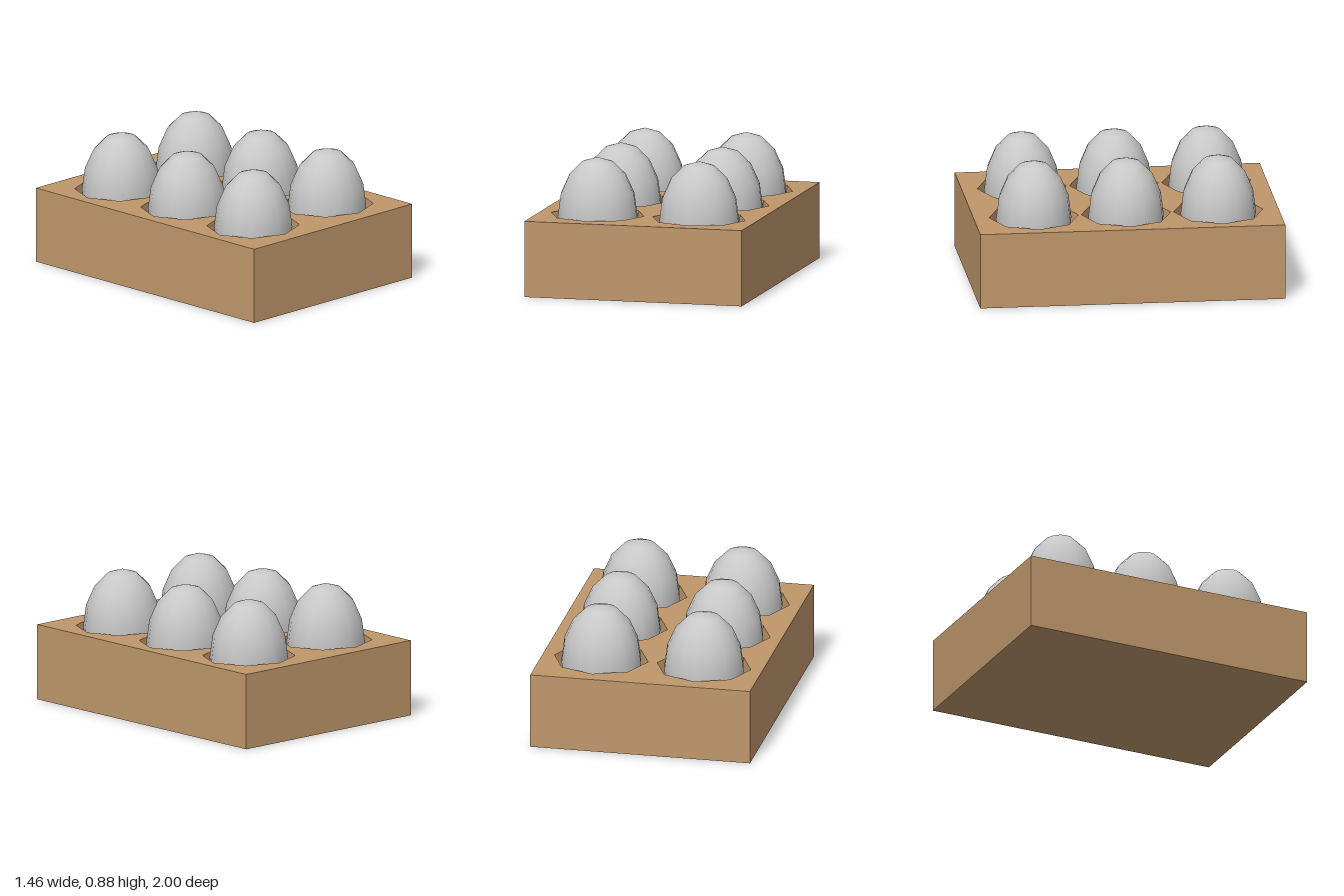
import * as THREE from 'three';

const W = 0.732, D = 1, H = 0.5;            // half width, half depth, height
const CX = [-0.342, 0.342], CZ = [-0.605, 0, 0.605];
const cupRX = 0.312, cupRZ = 0.292, cupDepth = 0.43;

export function createModel() {
  const model = new THREE.Group();
  const card = new THREE.MeshStandardMaterial({ color: 0xbf976b });
  card.name = 'cardboard';
  const shell = new THREE.MeshStandardMaterial({ color: 0xc8c8c8 });
  shell.name = 'eggshell';

  const add = (name, geometry, material, x = 0, y = 0, z = 0) => {
    const mesh = new THREE.Mesh(geometry, material);
    mesh.name = name;
    mesh.position.set(x, y, z);
    model.add(mesh);
    return mesh;
  };

  // Tray sides and bottom: a box without its top face
  const box = new THREE.BoxGeometry(2 * W, H, 2 * D);
  box.setIndex(Array.from(box.index.array).filter((_, i) => i < 12 || i >= 18));
  box.clearGroups();
  add('traySides', box, card, 0, H / 2, 0);

  // Tray top with an octagonal opening for each cup
  const top = new THREE.Shape([
    new THREE.Vector2(-W, -D), new THREE.Vector2(W, -D),
    new THREE.Vector2(W, D), new THREE.Vector2(-W, D),
  ]);
  for (const x of CX) for (const z of CZ) {
    const corners = [];
    for (let i = 0; i < 8; i++) {
      const a = -i * Math.PI / 4;
      corners.push(new THREE.Vector2(x + cupRX * Math.cos(a), z + cupRZ * Math.sin(a)));
    }
    top.holes.push(new THREE.Path(corners));
  }
  add('trayTop', new THREE.ShapeGeometry(top).rotateX(-Math.PI / 2), card, 0, H, 0);

  // Faceted cup, profile drawn from rim to bottom so it faces inward
  const profile = [];
  for (let i = 0; i <= 4; i++) {
    const a = i * Math.PI / 8;
    profile.push(new THREE.Vector2(i === 4 ? 0 : Math.cos(a), -cupDepth * Math.sin(a)));
  }
  const cup = new THREE.LatheGeometry(profile, 8).scale(cupRX, 1, cupRZ).toNonIndexed();
  cup.computeVertexNormals();

  // Smooth egg
  const egg = new THREE.SphereGeometry(1, 16, 8).scale(0.264, 0.39, 0.247);

  for (const x of CX) for (const z of CZ) {
    add('cup', cup, card, x, H, z);
    add('egg', egg, shell, x, 0.488, z);
  }
  return model;
}
